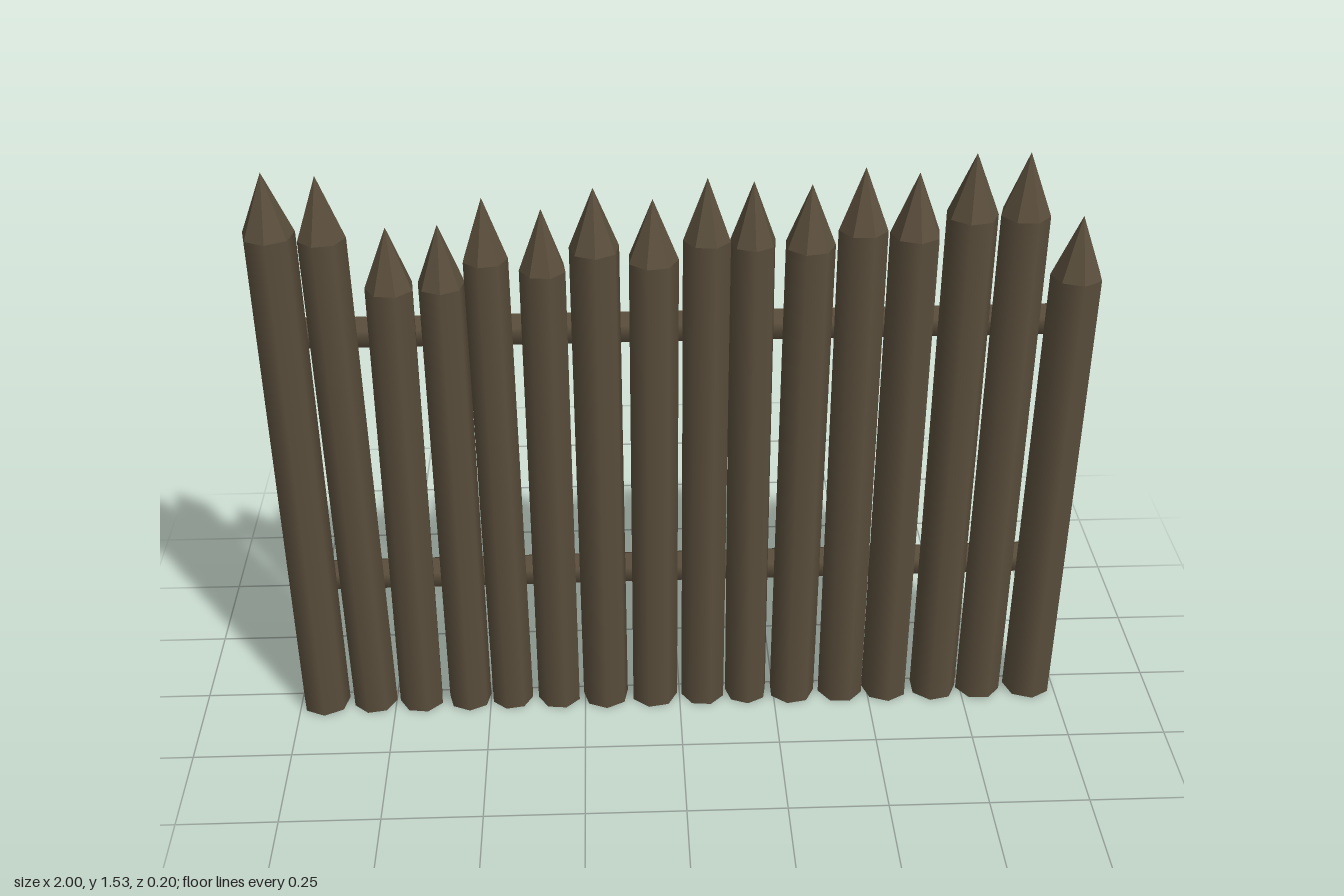
import * as THREE from 'three';

const SIDES = 7;
const TIP = 0.152;

// bottom x, tip x, tip height, radius
const STAKES = [
  [-0.935, -0.943, 1.51, 0.062], [-0.805, -0.823, 1.50, 0.057],
  [-0.682, -0.675, 1.37, 0.058], [-0.555, -0.556, 1.375, 0.056],
  [-0.443, -0.452, 1.44, 0.054], [-0.318, -0.318, 1.41, 0.056],
  [-0.195, -0.198, 1.46, 0.060], [-0.067, -0.062, 1.43, 0.061],
  [0.062, 0.064, 1.48, 0.057], [0.177, 0.170, 1.47, 0.055],
  [0.298, 0.304, 1.46, 0.060], [0.428, 0.425, 1.50, 0.059],
  [0.548, 0.549, 1.485, 0.060], [0.677, 0.677, 1.53, 0.061],
  [0.797, 0.800, 1.53, 0.059], [0.930, 0.938, 1.37, 0.062],
];

export function createModel() {
  const fence = new THREE.Group();
  fence.name = 'palisadeFence';
  const wood = new THREE.MeshStandardMaterial({ color: 0x5a4e3c });
  wood.name = 'dark brown wood';

  const up = new THREE.Vector3(0, 1, 0);

  // Sharpened stakes: smooth round log with a faceted point, leaning slightly
  STAKES.forEach(([x0, x1, height, r], i) => {
    const stake = new THREE.Group();
    stake.name = `stake${i + 1}`;
    const shoulder = height - TIP;
    const turn = (i * 2.4) % (Math.PI * 2);

    const log = new THREE.Mesh(
      new THREE.CylinderGeometry(r, r, shoulder, SIDES, 1, false, turn), wood);
    log.name = 'log';
    log.position.y = shoulder / 2;

    const coneShape = new THREE.ConeGeometry(r, TIP, SIDES, 1, true, turn).toNonIndexed();
    coneShape.computeVertexNormals();
    const point = new THREE.Mesh(coneShape, wood);
    point.name = 'point';
    point.position.y = shoulder + TIP / 2;

    stake.add(log, point);
    stake.position.set(x0, 0, 0.035);
    const lean = new THREE.Vector3(x1 - x0, height, 0.003).normalize();
    stake.quaternion.setFromUnitVectors(up, lean);
    fence.add(stake);
  });

  // Six-sided rails along the back
  for (const [name, y, rise] of [['lowerRail', 0.343, 0.010], ['upperRail', 1.05, 0.003]]) {
    const rail = new THREE.Mesh(new THREE.CylinderGeometry(0.042, 0.042, 1.975, 6), wood);
    rail.name = name;
    rail.rotation.z = -Math.PI / 2 + rise / 1.975;
    // a corner of the hexagon faces up
    rail.geometry.rotateY(Math.PI / 2);
    rail.position.set(-0.005, y, -0.063);
    fence.add(rail);
  }

  return fence;
}
